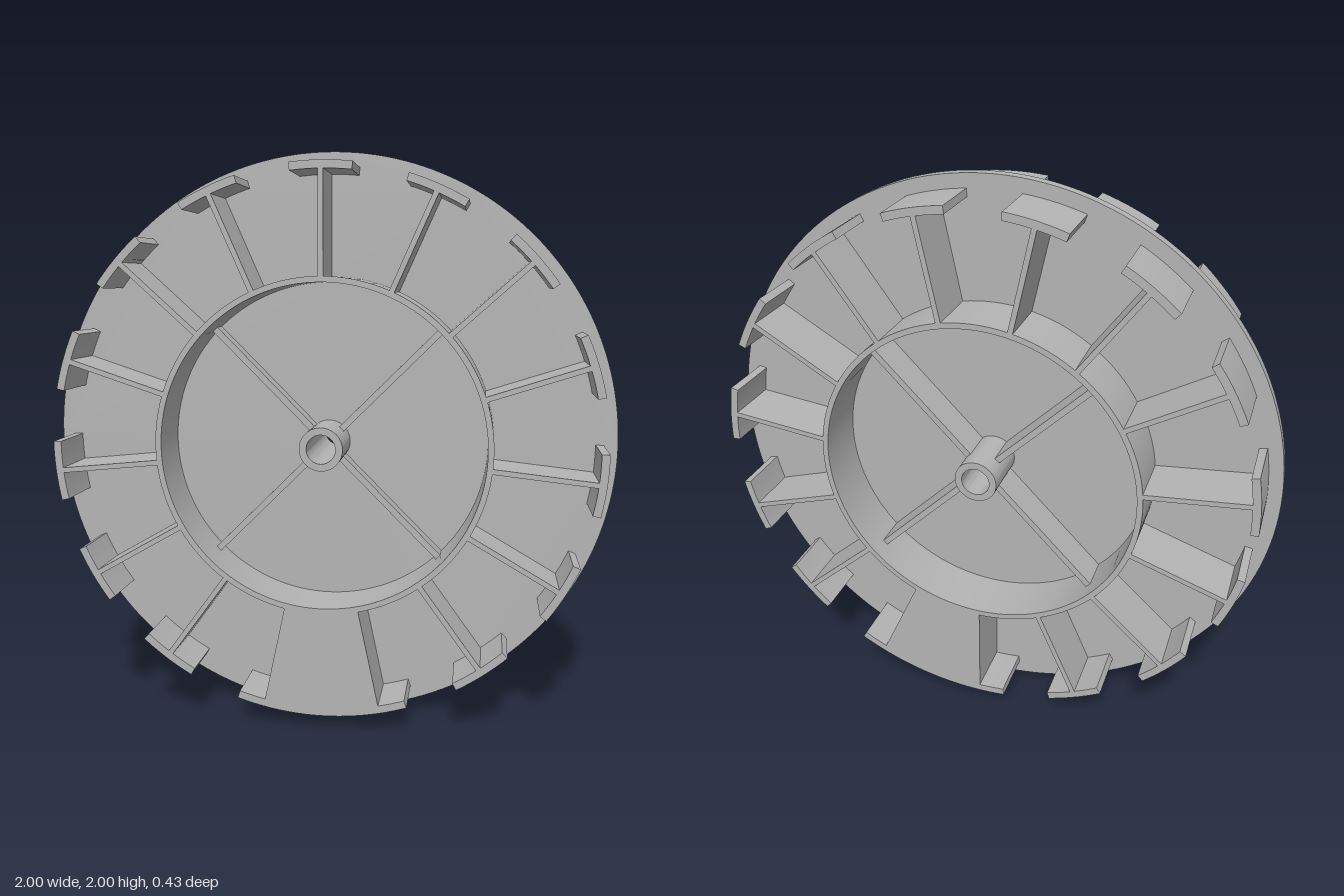
import * as THREE from 'three';
import { toCreasedNormals } from 'three/addons/utils/BufferGeometryUtils.js';

const R = 1, FACE = 0.0175, TIP = 0.215; // disc radius, half thickness, paddle reach
const RING_IN = 0.56, RING_OUT = 0.58, CAP_IN = 0.925, CAP_OUT = 0.952;
const STEP = THREE.MathUtils.degToRad(24);
const CAP_HALF = THREE.MathUtils.degToRad(6.4);

const grey = new THREE.MeshStandardMaterial({ color: 0xb4b4b4 });
grey.name = 'grey';

function add(parent, name, geometry) {
  const mesh = new THREE.Mesh(geometry, grey);
  mesh.name = name;
  parent.add(mesh);
  return mesh;
}

// Extrude a shape between two z levels
function slab(shape, z0, z1, segments) {
  const g = new THREE.ExtrudeGeometry(shape, { depth: z1 - z0, bevelEnabled: false, curveSegments: segments });
  g.translate(0, 0, z0);
  return toCreasedNormals(g, 0.5);
}

function annulus(inner, outer, z0, z1, segments = 64) {
  const s = new THREE.Shape().absarc(0, 0, outer, 0, Math.PI * 2, false);
  s.holes.push(new THREE.Path().absarc(0, 0, inner, 0, Math.PI * 2, true));
  return slab(s, z0, z1, segments);
}

// Ring segment centred on the given direction
function sector(inner, outer, middle, half, z0, z1) {
  const s = new THREE.Shape();
  s.absarc(0, 0, outer, middle - half, middle + half, false);
  s.absarc(0, 0, inner, middle + half, middle - half, true);
  s.closePath();
  return slab(s, z0, z1, 12);
}

// T-shaped paddles around the ring, with one gap filled solid at the bottom
function makePaddles(z0, z1) {
  const paddles = new THREE.Group();
  const bladeLength = CAP_IN - RING_OUT + 0.02;
  const blade = new THREE.BoxGeometry(0.018, bladeLength, z1 - z0);
  blade.translate(0, RING_OUT - 0.01 + bladeLength / 2, (z0 + z1) / 2);
  const cap = sector(CAP_IN, CAP_OUT, Math.PI / 2, CAP_HALF, z0, z1);
  for (let k = -7; k <= 7; k++) {
    const paddle = new THREE.Group();
    paddle.name = 'paddle';
    add(paddle, 'paddleBlade', blade);
    add(paddle, 'paddleCap', cap);
    paddle.rotation.z = -k * STEP;
    paddles.add(paddle);
  }
  add(paddles, 'solidSegment', sector(RING_OUT - 0.01, CAP_OUT, -Math.PI / 2, STEP / 2, z0, z1));
  return paddles;
}

export function createModel() {
  const model = new THREE.Group();
  model.name = 'paddleWheel';
  const wheel = new THREE.Group();
  wheel.name = 'wheel';
  wheel.position.y = R;
  model.add(wheel);

  // Central disc and the bored hub through it
  add(wheel, 'disc', annulus(0.06, R, -FACE, FACE, 96));
  add(wheel, 'hub', annulus(0.05, 0.075, -TIP, TIP, 32));

  // Front and back: ring wall, paddles and crossed ribs
  for (const side of [1, -1]) {
    const name = side > 0 ? 'front' : 'back';
    const root = FACE - 0.005;
    const z0 = side > 0 ? root : -TIP;
    const z1 = side > 0 ? TIP : -root;
    add(wheel, name + 'Ring', annulus(RING_IN, RING_OUT, z0, z1));

    const paddles = makePaddles(z0, z1);
    paddles.name = name + 'Paddles';
    if (side < 0) paddles.rotation.z = STEP / 2; // staggered by half a step
    wheel.add(paddles);

    const height = side > 0 ? 0.08 : 0.14;
    const rib = new THREE.BoxGeometry(RING_IN - 0.055, 0.022, height - root);
    rib.translate(0.0625 + (RING_IN - 0.055) / 2, 0, side * (height + root) / 2);
    for (let i = 0; i < 4; i++) {
      add(wheel, name + 'Rib', rib).rotation.z = Math.PI / 4 + i * Math.PI / 2;
    }
  }
  return model;
}
